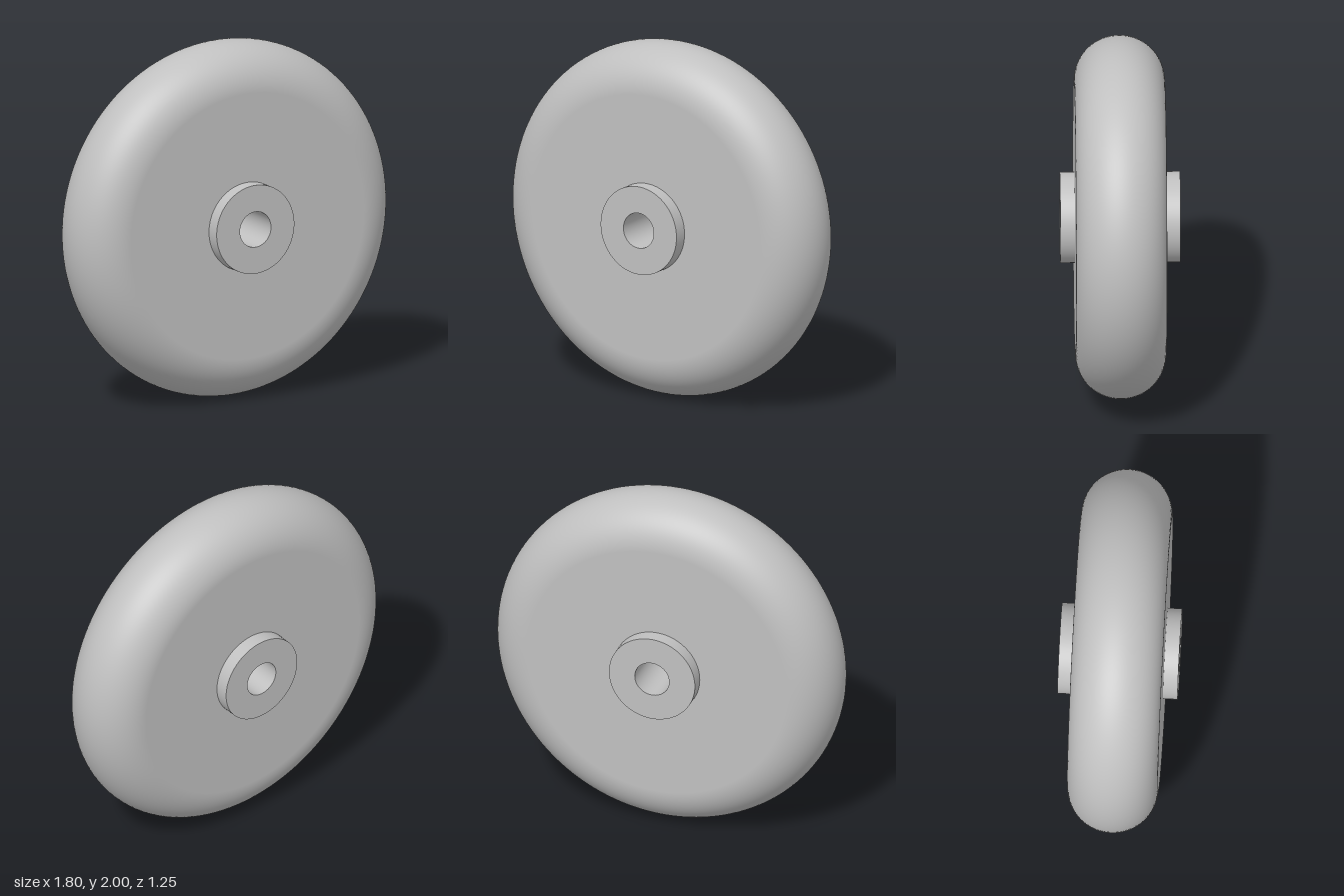
import * as THREE from 'three';
import { mergeGeometries } from 'three/addons/utils/BufferGeometryUtils.js';

const SEGMENTS = 128;
const TIRE_R = 1, HALF_W = 0.25, HUB_R = 0.25, BORE_R = 0.1, HUB_HALF = 0.33;

// Revolve a profile of [radius, axial] points around the wheel axis (z)
function revolve(points) {
  const profile = points.map(([r, a]) => new THREE.Vector2(r, a));
  return new THREE.LatheGeometry(profile, SEGMENTS).rotateX(Math.PI / 2);
}

export function createModel() {
  const grey = new THREE.MeshStandardMaterial({ color: 0xc0c0c0 });
  grey.name = 'wheelGrey';

  const wheel = new THREE.Group();
  wheel.name = 'wheel';
  const add = (name, geometry) => {
    const mesh = new THREE.Mesh(geometry, grey);
    mesh.name = name;
    wheel.add(mesh);
  };

  // Tire: flat sides with a fully rounded rim
  const tire = [[HUB_R, -HALF_W]];
  for (let i = 0; i <= 40; i++) {
    const t = -Math.PI / 2 + (Math.PI * i) / 40;
    tire.push([TIRE_R - HALF_W + HALF_W * Math.cos(t), HALF_W * Math.sin(t)]);
  }
  tire.push([HUB_R, HALF_W]);
  add('tire', revolve(tire));

  // Hub bosses: crisp wall and ring face on each side
  add('backHub', mergeGeometries([
    revolve([[HUB_R, -HUB_HALF], [HUB_R, -HALF_W]]),
    revolve([[BORE_R, -HUB_HALF], [HUB_R, -HUB_HALF]]),
  ]));
  add('frontHub', mergeGeometries([
    revolve([[HUB_R, HALF_W], [HUB_R, HUB_HALF]]),
    revolve([[HUB_R, HUB_HALF], [BORE_R, HUB_HALF]]),
  ]));

  // Axle bore running right through, facing inward
  add('axleBore', revolve([[BORE_R, HUB_HALF], [BORE_R, -HUB_HALF]]));

  // Wheel is turned 30 degrees toward its left
  wheel.rotation.y = Math.PI / 6;
  wheel.position.y = TIRE_R;

  const model = new THREE.Group();
  model.name = 'model';
  model.add(wheel);
  return model;
}
